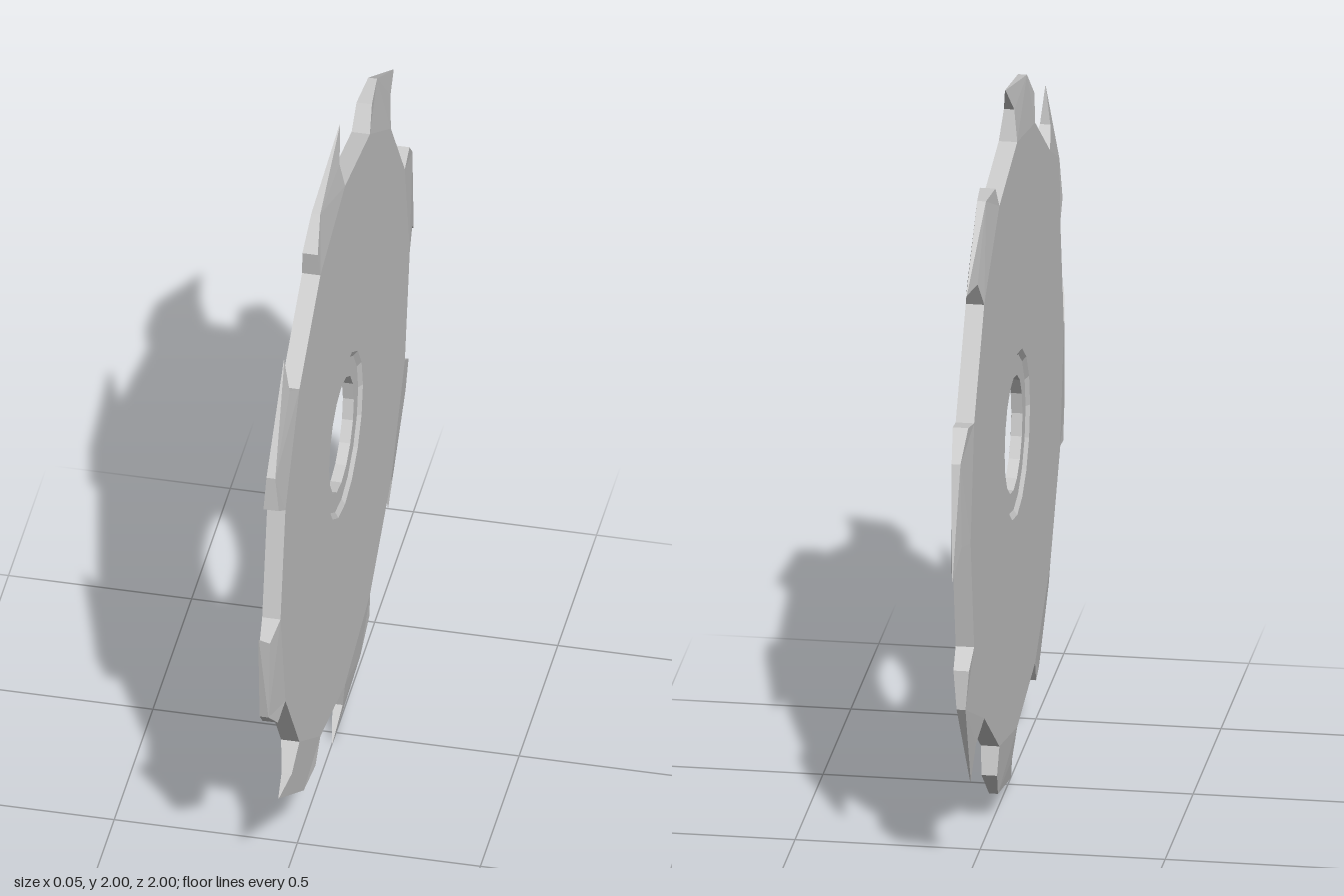
import * as THREE from 'three';

const HALF = 0.025;   // half thickness of the blade
const RADIUS = 0.835; // corner radius of the 16-sided disc
const TEETH = 8;

const material = new THREE.MeshStandardMaterial({ color: 0xcccccc, flatShading: true });

// Disc with a bore and a shallow recess round it on both faces
function discGeometry() {
  const floor = HALF - 0.01;
  const lower = [[0.16, -floor], [0.215, -floor], [0.23, -HALF], [RADIUS, -HALF]];
  const upper = lower.map(([r, y]) => [r, -y]).reverse();
  const profile = [...lower, ...upper, lower[0]].map(([r, y]) => new THREE.Vector2(r, y));
  return new THREE.LatheGeometry(profile, TEETH * 2).rotateZ(-Math.PI / 2);
}

// Hooked tooth thinning from the disc edge to a sharp tip
function toothGeometry() {
  const a = Math.PI / 8;
  // across, up, half thickness; counter-clockwise from the foot under the hook
  const outline = [
    [0, RADIUS, HALF],
    [-0.02, 0.92, 0.014],
    [0.05, 1.0, 0.0008],
    [-0.26, 0.93, 0.012],
    [-0.335, 0.85, 0.021],
    [-RADIUS * Math.sin(a), RADIUS * Math.cos(a), HALF],
  ];
  const positions = [];
  const put = (i, side) => {
    const [u, v, h] = outline[i];
    positions.push(side * h, v, -u);
  };
  // Two mirrored faces
  for (const [i, j, k] of [[0, 1, 3], [1, 2, 3], [0, 3, 5], [3, 4, 5]]) {
    put(i, 1); put(j, 1); put(k, 1);
    put(i, -1); put(k, -1); put(j, -1);
  }
  // Edge walls
  for (let i = 0; i < outline.length - 1; i++) {
    put(i, 1); put(i, -1); put(i + 1, -1);
    put(i, 1); put(i + 1, -1); put(i + 1, 1);
  }
  const geometry = new THREE.BufferGeometry();
  geometry.setAttribute('position', new THREE.Float32BufferAttribute(positions, 3));
  geometry.computeVertexNormals();
  return geometry;
}

export function createModel() {
  const blade = new THREE.Group();
  blade.name = 'sawBlade';

  const disc = new THREE.Mesh(discGeometry(), material);
  disc.name = 'disc';
  disc.position.y = 1;
  blade.add(disc);

  const teeth = new THREE.Group();
  teeth.name = 'teeth';
  teeth.position.y = 1;
  const geometry = toothGeometry();
  for (let i = 0; i < TEETH; i++) {
    const tooth = new THREE.Mesh(geometry, material);
    tooth.name = `tooth${i + 1}`;
    tooth.rotation.x = (i / TEETH) * Math.PI * 2;
    teeth.add(tooth);
  }
  blade.add(teeth);
  return blade;
}
